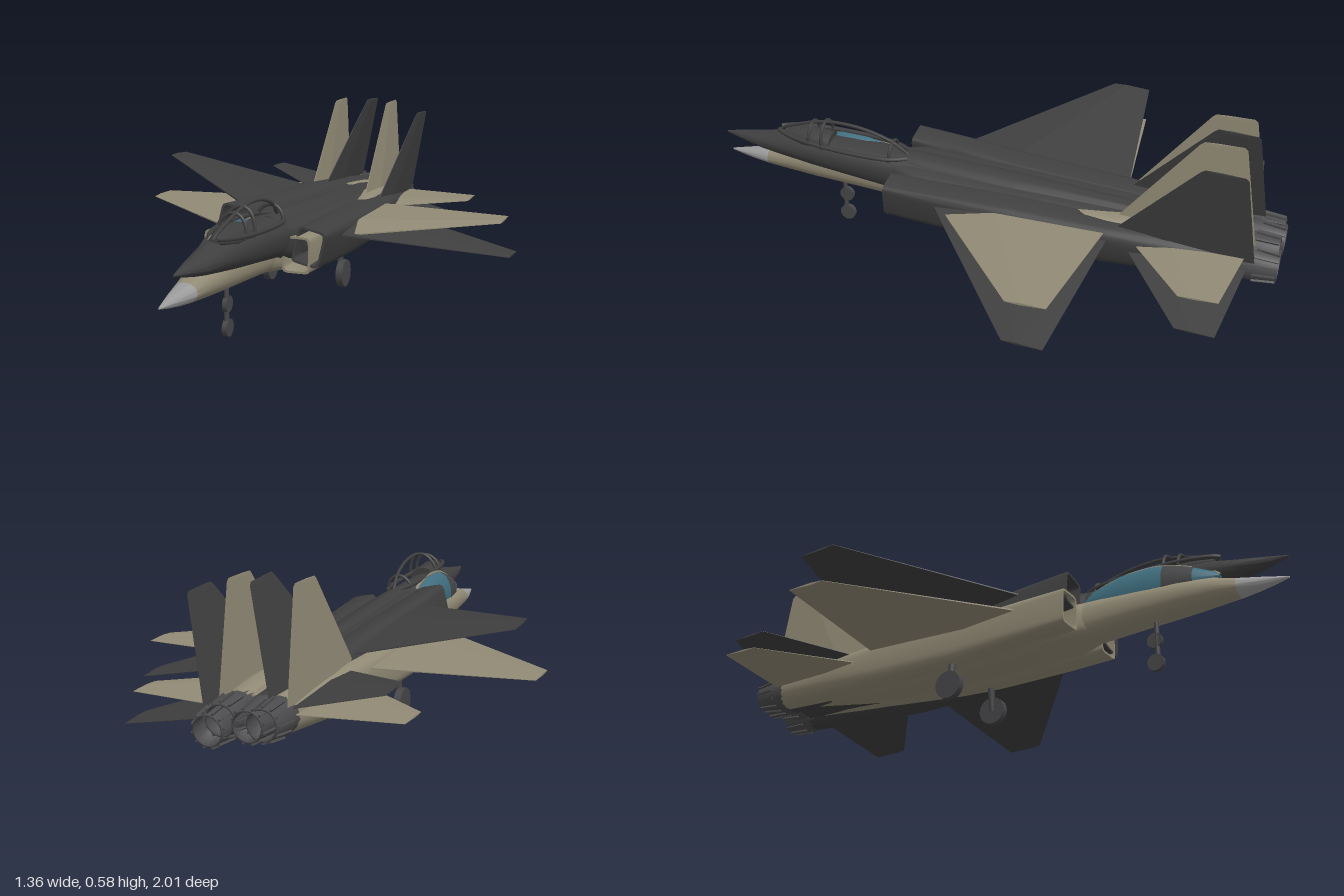
import * as THREE from 'three';
import { toCreasedNormals } from 'three/addons/utils/BufferGeometryUtils.js';
import { ConvexGeometry } from 'three/addons/geometries/ConvexGeometry.js';

const material = (name, color, side = THREE.FrontSide) => {
  const m = new THREE.MeshStandardMaterial({ color, side });
  m.name = name;
  return m;
};
const tan = material('tan paint', 0x918a75);
const dark = material('dark grey paint', 0x3f3f40);
const metal = material('nozzle metal', 0x4b4b4d, THREE.DoubleSide);
const grey = material('radome grey', 0x9b9b9b);
const glass = material('blue glass', 0x3f6d7e);
const gearGrey = material('gear grey', 0x464648);

function add(parent, name, geometry, mat, x = 0, y = 0, z = 0) {
  const mesh = new THREE.Mesh(geometry, mat);
  mesh.name = name;
  mesh.position.set(x, y, z);
  parent.add(mesh);
  return mesh;
}

// Skin through superellipse sections [z, centreX, centreY, halfWidth, halfHeight, power]
function loft(sections, n = 28) {
  const pos = [], index = [];
  const p = (v, e) => Math.sign(v) * Math.pow(Math.abs(v), e);
  for (const [z, cx, cy, w, h, power = 2] of sections) {
    for (let i = 0; i < n; i++) {
      const a = (i / n) * Math.PI * 2;
      pos.push(cx + w * p(Math.cos(a), 2 / power), cy + h * p(Math.sin(a), 2 / power), z);
    }
  }
  const last = sections.length - 1;
  for (let k = 0; k < last; k++) {
    for (let i = 0; i < n; i++) {
      const j = (i + 1) % n, a = k * n + i, b = k * n + j;
      index.push(a, a + n, b, b, a + n, b + n);
    }
  }
  // end caps
  for (const k of [0, last]) {
    const [z, cx, cy] = sections[k], c = pos.length / 3;
    pos.push(cx, cy, z);
    for (let i = 0; i < n; i++) {
      const a = k * n + i, b = k * n + (i + 1) % n;
      if (k === 0) index.push(c, a, b); else index.push(c, b, a);
    }
  }
  const g = new THREE.BufferGeometry();
  g.setAttribute('position', new THREE.Float32BufferAttribute(pos, 3));
  g.setIndex(index);
  return toCreasedNormals(g, 0.7);
}

// Tapered flying surface through stations [x, y, zLeading, zTrailing, halfThickness]
function panel(stations, upright = false) {
  const pts = [];
  for (const [x, y, le, te, t] of stations) {
    for (const [f, s] of [[0, 0.15], [0.35, 1], [1, 0.1]]) {
      for (const d of [-t * s, t * s]) {
        pts.push(new THREE.Vector3(x + (upright ? d : 0), y + (upright ? 0 : d), le + (te - le) * f));
      }
    }
  }
  return new ConvexGeometry(pts);
}

const canopyTop = [[0.78, 0.01, 0.005], [0.76, 0.022, 0.022], [0.70, 0.04, 0.049], [0.65, 0.048, 0.068],
  [0.60, 0.053, 0.082], [0.55, 0.055, 0.089], [0.45, 0.055, 0.084], [0.35, 0.045, 0.054], [0.29, 0.02, 0.012]];
const canopyY = 0.27;
const canopy = (from, to, grow = 0) => loft(canopyTop.slice(from, to + 1)
  .map(([z, w, h]) => [z, 0, canopyY, w + grow, h + grow]));
const tube = (pts, r) => new THREE.TubeGeometry(
  new THREE.CatmullRomCurve3(pts.map(v => new THREE.Vector3(...v))), 32, r, 8);

function buildJet(name, paint, nosePaint) {
  const jet = new THREE.Group();
  jet.name = name;

  // fuselage
  add(jet, 'radome', loft([[1, 0, 0.21, 0.003, 0.003], [0.95, 0, 0.21, 0.016, 0.013],
    [0.9, 0, 0.211, 0.028, 0.022], [0.84, 0, 0.213, 0.04, 0.031]]), nosePaint);
  add(jet, 'forwardFuselage', loft([[0.84, 0, 0.213, 0.04, 0.031], [0.76, 0, 0.22, 0.052, 0.045],
    [0.65, 0, 0.222, 0.062, 0.054, 2.2], [0.5, 0, 0.22, 0.068, 0.06, 2.4],
    [0.32, 0, 0.215, 0.072, 0.067, 2.6], [0.15, 0, 0.205, 0.08, 0.072, 3]]), paint);
  add(jet, 'centreFuselage', loft([[0.36, 0, 0.215, 0.06, 0.06, 3], [0.25, 0, 0.208, 0.1, 0.066, 4],
    [-0.1, 0, 0.2, 0.11, 0.073, 4], [-0.5, 0, 0.2, 0.1, 0.07, 4], [-0.88, 0, 0.205, 0.06, 0.045, 3]]), paint);
  add(jet, 'spine', loft([[0.36, 0, 0.255, 0.035, 0.03], [0.25, 0, 0.25, 0.052, 0.04],
    [-0.1, 0, 0.245, 0.06, 0.04], [-0.6, 0, 0.235, 0.04, 0.045], [-0.9, 0, 0.22, 0.015, 0.03]]), paint);

  for (const s of [-1, 1]) {
    const side = s > 0 ? 'left' : 'right';
    // intake duct turning over its lip into the engine nacelle
    add(jet, side + 'Nacelle', loft([[0.18, s * 0.134, 0.215, 0.036, 0.046, 6], [0.318, s * 0.135, 0.215, 0.041, 0.053, 7],
      [0.318, s * 0.135, 0.215, 0.048, 0.06, 7], [0.15, s * 0.128, 0.208, 0.052, 0.067, 5],
      [-0.1, s * 0.11, 0.2, 0.06, 0.073, 4], [-0.45, s * 0.099, 0.198, 0.062, 0.072, 3.5],
      [-0.65, s * 0.085, 0.2, 0.064, 0.068, 2.6], [-0.89, s * 0.064, 0.202, 0.056, 0.058]]), paint);
    add(jet, side + 'IntakeShadow', new THREE.BoxGeometry(0.066, 0.086, 0.006), dark, s * 0.134, 0.215, 0.185);

    // wing, tailplane and fin
    add(jet, side + 'Wing', panel([[s * 0.1, 0.24, 0.2, -0.458, 0.02],
      [s * 0.663, 0.24, -0.265, -0.395, 0.004]]), paint);
    add(jet, side + 'Tailplane', panel([[s * 0.09, 0.212, -0.475, -0.905, 0.012],
      [s * 0.43, 0.212, -0.74, -0.865, 0.003]]), paint);
    add(jet, side + 'Fin', panel([[s * 0.107, 0.23, -0.445, -0.925, 0.012],
      [s * 0.103, 0.565, -0.722, -0.87, 0.004], [s * 0.103, 0.575, -0.735, -0.86, 0.003]], true), paint);

    // exhaust nozzle with petals
    const nozzle = new THREE.Group();
    nozzle.name = side + 'Nozzle';
    nozzle.position.set(s * 0.064, 0.202, -0.86);
    const profile = [[0.058, 0], [0.058, 0.06], [0.048, 0.138], [0.043, 0.138], [0.046, 0.06], [0, 0.05]];
    const shell = add(nozzle, 'nozzleShell',
      new THREE.LatheGeometry(profile.map(v => new THREE.Vector2(...v)), 18), metal);
    shell.rotation.x = -Math.PI / 2;
    for (let i = 0; i < 12; i++) {
      const a = (i / 12) * Math.PI * 2;
      const petal = add(nozzle, 'nozzlePetal', new THREE.BoxGeometry(0.006, 0.013, 0.075), metal,
        -Math.sin(a) * 0.053, Math.cos(a) * 0.053, -0.098);
      petal.rotation.set(-0.12, 0, a, 'ZYX');
    }
    jet.add(nozzle);
  }

  // bar along the canopy crown
  add(jet, 'canopyCrownBar', tube(canopyTop.map(([z, , h]) => [0, canopyY + h, z]), 0.006), paint);
  return jet;
}

// glazed canopy for the level jet
function addGlazing(jet) {
  add(jet, 'windshield', canopy(0, 2), glass);
  add(jet, 'canopyArch', canopy(2, 4, 0.001), gearGrey);
  add(jet, 'canopyGlass', canopy(4, 8), glass);
}

// unglazed canopy frame for the banked jet
function addOpenFrame(jet) {
  add(jet, 'instrumentCowl', loft([[0.76, 0, 0.27, 0.02, 0.015], [0.68, 0, 0.27, 0.042, 0.036],
    [0.58, 0, 0.27, 0.045, 0.03]]), dark);
  for (const s of [-1, 1]) {
    add(jet, 'canopySill', tube(canopyTop.map(([z, w]) => [s * w, canopyY + 0.012, z]), 0.008), dark);
  }
  for (const k of [3, 4, 7]) {
    const [z, w, h] = canopyTop[k], pts = [];
    for (let i = 0; i <= 8; i++) {
      const a = (i / 8) * Math.PI;
      pts.push([Math.cos(a) * w, canopyY + Math.sin(a) * h, z]);
    }
    add(jet, 'canopyHoop', tube(pts, 0.006), dark);
  }
}

function addWheel(parent, x, y, z, r, width) {
  const wheel = add(parent, 'wheel', new THREE.CylinderGeometry(r, r, width, 24), gearGrey, x, y, z);
  wheel.rotation.z = Math.PI / 2;
  return wheel;
}

function addGear(jet) {
  // nose leg with lamp housing
  const nose = new THREE.Group();
  nose.name = 'noseGear';
  add(nose, 'noseLeg', new THREE.CylinderGeometry(0.008, 0.008, 0.15, 12), gearGrey, 0, 0.105, 0.555);
  addWheel(nose, 0, 0.028, 0.548, 0.028, 0.016);
  addWheel(nose, 0, 0.103, 0.548, 0.026, 0.014);
  jet.add(nose);
  // main legs
  for (const s of [-1, 1]) {
    const main = new THREE.Group();
    main.name = (s > 0 ? 'left' : 'right') + 'MainGear';
    const leg = add(main, 'mainLeg', new THREE.CylinderGeometry(0.013, 0.01, 0.12, 12), gearGrey, s * 0.126, 0.105, -0.135);
    leg.rotation.z = s * 0.1;
    addWheel(main, s * 0.138, 0.048, -0.135, 0.048, 0.024);
    jet.add(main);
  }
}

export function createModel() {
  const model = new THREE.Group();
  model.name = 'jetPair';

  // level jet standing on its gear
  const level = buildJet('levelJet', tan, grey);
  addGlazing(level);
  addGear(level);
  level.position.x = -0.018;
  model.add(level);

  // banked jet, nose slightly up, turning about its wing centre
  const jet = buildJet('bankedJetBody', dark, dark);
  addOpenFrame(jet);
  jet.position.y = -0.24;
  const banked = new THREE.Group();
  banked.name = 'bankedJet';
  banked.add(jet);
  banked.position.set(0.03, 0.276, -0.01);
  banked.rotation.set(-0.057, 0, -0.212);
  model.add(banked);
  return model;
}
